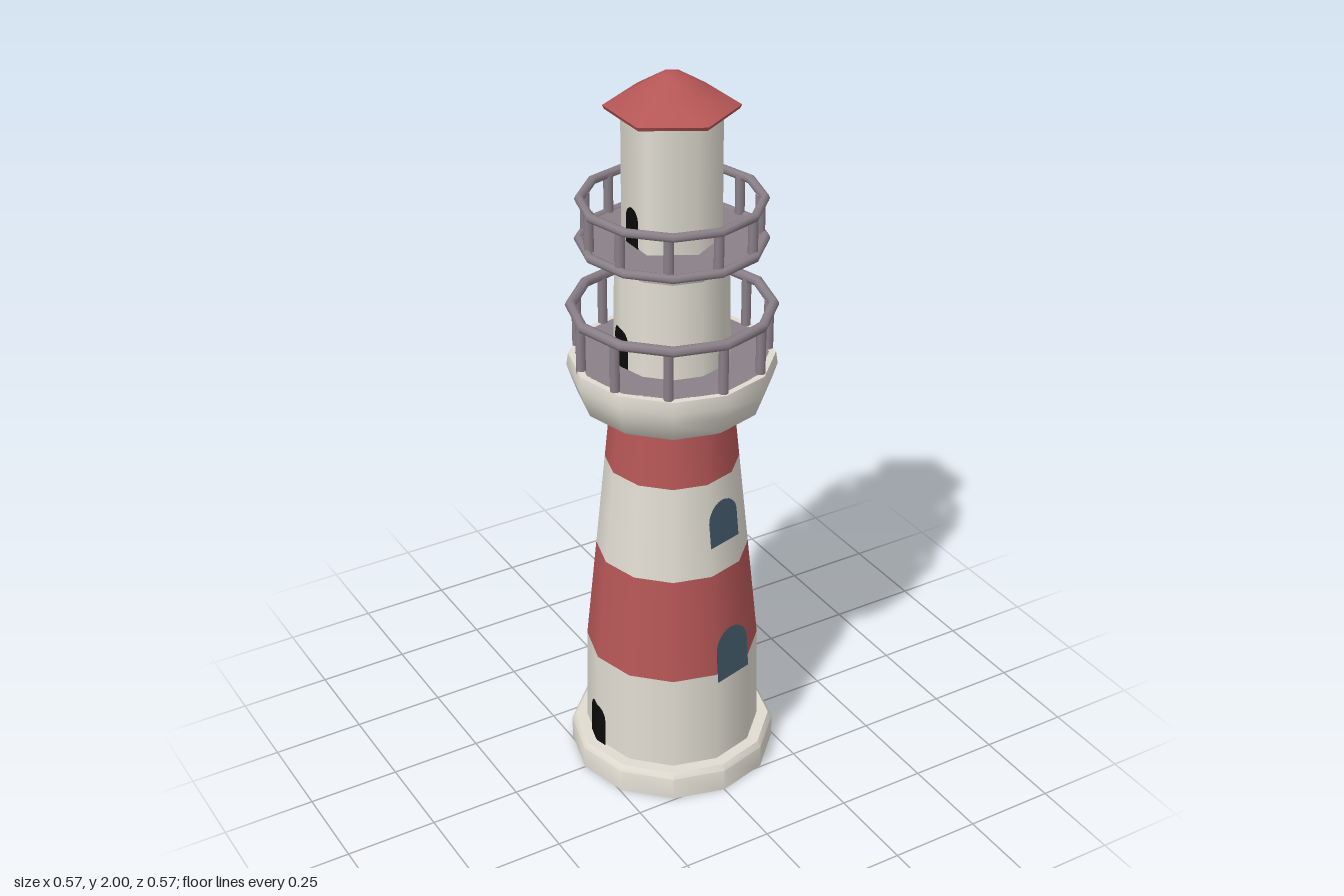
import * as THREE from 'three';
import { toCreasedNormals } from 'three/addons/utils/BufferGeometryUtils.js';

const material = (name, color, side = THREE.FrontSide) => {
  const m = new THREE.MeshStandardMaterial({ color, side });
  m.name = name;
  return m;
};

export function createModel() {
  const cream = material('cream plaster', 0xe0dcd1);
  const red = material('red paint', 0xb65656);
  const mauve = material('grey metal', 0x8a8088);
  const blue = material('window glass', 0x425a6a, THREE.DoubleSide);
  const black = material('dark doorway', 0x0a0a0a, THREE.DoubleSide);

  const model = new THREE.Group();
  model.name = 'lighthouse';

  const add = (name, geometry, mat, parent = model) => {
    const mesh = new THREE.Mesh(geometry, mat);
    mesh.name = name;
    parent.add(mesh);
    return mesh;
  };

  // Many-sided turned part from a [radius, height] profile, bottom to top
  const turned = (name, profile, mat, sides = 12, crease = 0.75) => {
    const points = profile.map(([r, y]) => new THREE.Vector2(r, y));
    return add(name, toCreasedNormals(new THREE.LatheGeometry(points, sides), crease), mat);
  };

  // Straight or tapered wall between two heights
  const wall = (name, r0, y0, r1, y1, mat, sides = 12) => {
    const g = new THREE.CylinderGeometry(r1, r0, y1 - y0, sides, 1, true);
    add(name, g.translate(0, (y0 + y1) / 2, 0), mat);
  };

  // Foot
  turned('base', [[0, 0], [0.283, 0], [0.283, 0.065], [0.272, 0.08], [0, 0.08]], cream);

  // Striped tower
  const towerRadius = (y) => (y < 0.36 ? 0.24 - (y - 0.08) * 0.018 : 0.235 - (y - 0.36) * 0.1);
  const stripes = [0.08, 0.36, 0.66, 0.93, 1.115];
  for (let i = 0; i < 4; i++) {
    const [y0, y1] = [stripes[i], stripes[i + 1]];
    wall('towerStripe' + (i + 1), towerRadius(y0), y0, towerRadius(y1), y1, i % 2 ? red : cream);
  }

  // Lower gallery bowl and its floor
  turned('lowerGalleryBowl',
    [[0.14, 1.105], [0.222, 1.105], [0.244, 1.12], [0.262, 1.17], [0.273, 1.205], [0.268, 1.238], [0.25, 1.238]], cream);
  turned('lowerGalleryFloor', [[0.252, 1.238], [0.1, 1.238]], mauve);

  // Upper tower flaring out to the upper gallery
  wall('upperTower', 0.152, 1.23, 0.146, 1.5, cream);
  turned('upperGalleryFlare', [[0.146, 1.5], [0.158, 1.525], [0.235, 1.553]], cream);
  turned('upperGalleryFloor', [[0.238, 1.566], [0.08, 1.566]], mauve);

  // Horizontal metal ring with twelve corners
  const ring = (name, radius, tube, y, parent = model) => {
    const g = new THREE.TorusGeometry(radius, tube, 8, 12).rotateX(Math.PI / 2);
    add(name, g.translate(0, y, 0), mauve, parent);
  };
  ring('upperGalleryEdge', 0.234, 0.012, 1.561);

  // Railing of eleven posts under a ring
  const railing = (name, y0, y1, postRadius, ringRadius, tube) => {
    const group = new THREE.Group();
    group.name = name;
    model.add(group);
    ring('handrail', ringRadius, tube, y1, group);
    for (let i = 0; i < 11; i++) {
      const a = (i / 11) * Math.PI * 2;
      const post = add('railPost', new THREE.CylinderGeometry(0.013, 0.013, y1 - y0, 8), mauve, group);
      post.position.set(Math.sin(a) * postRadius, (y0 + y1) / 2, Math.cos(a) * postRadius);
    }
  };
  railing('lowerRailing', 1.23, 1.376, 0.25, 0.259, 0.014);
  railing('upperRailing', 1.56, 1.669, 0.222, 0.231, 0.012);

  // Six-sided lantern room and roof
  wall('lanternRoom', 0.127, 1.56, 0.126, 1.905, cream, 6);
  wall('lanternTrim', 0.13, 1.895, 0.13, 1.907, mauve, 6);
  turned('roof',
    [[0, 1.905], [0.12, 1.905], [0.165, 1.906], [0.17, 1.916], [0.09, 1.962], [0.03, 1.996], [0, 2]], red, 6, 1.1);

  // Arched panel wrapped just outside a many-sided wall
  const archPanel = (name, degrees, y0, y1, width, radiusAt, sides, mat) => {
    const columns = 12, half = Math.PI / sides, rise = width * 0.5;
    const position = [], index = [];
    const place = (u, y) => {
      const r = radiusAt(y);
      const a = THREE.MathUtils.degToRad(degrees) + u / r;
      const local = THREE.MathUtils.euclideanModulo(a, 2 * half) - half;
      const d = (r * Math.cos(half)) / Math.cos(local) + 0.005;
      position.push(Math.sin(a) * d, y, Math.cos(a) * d);
    };
    for (let i = 0; i <= columns; i++) {
      const t = -Math.cos((i / columns) * Math.PI);
      place((t * width) / 2, y0);
      place((t * width) / 2, y1 - rise + rise * Math.sqrt(Math.max(0, 1 - t * t)));
      if (i < columns) {
        const k = i * 2;
        index.push(k, k + 2, k + 3, k, k + 3, k + 1);
      }
    }
    const g = new THREE.BufferGeometry();
    g.setAttribute('position', new THREE.Float32BufferAttribute(position, 3));
    g.setIndex(index);
    g.computeVertexNormals();
    add(name, g, mat);
  };

  // Windows on one front and one back face
  for (const [side, degrees] of [['front', 15], ['back', 165]]) {
    archPanel(side + 'LowerWindow', degrees, 0.335, 0.485, 0.118, towerRadius, 12, blue);
    archPanel(side + 'UpperWindow', degrees, 0.745, 0.87, 0.104, towerRadius, 12, blue);
  }

  // Doorways stacked on the right side
  archPanel('groundDoor', 268, 0.08, 0.205, 0.085, towerRadius, 12, black);
  archPanel('lowerGalleryDoor', 268, 1.24, 1.35, 0.07, () => 0.15, 12, black);
  archPanel('upperGalleryDoor', 270, 1.568, 1.67, 0.065, () => 0.127, 6, black);

  return model;
}
